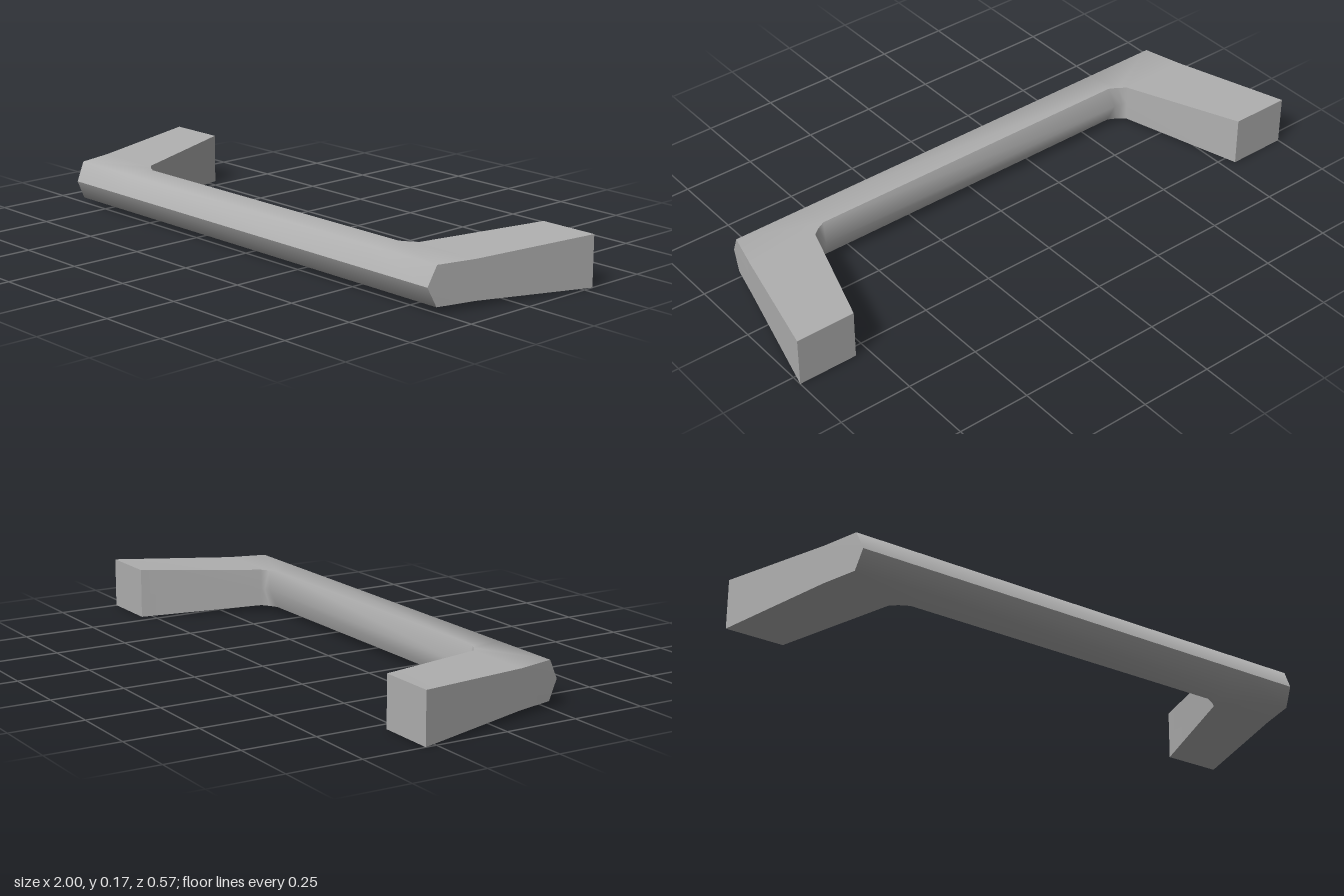
import * as THREE from 'three';

// Cross-section of six points: outer ridge, outer top, inner top, inner ridge, inner bottom, outer bottom.
// Each argument is [x, z]; lo and hi are the bottom and top heights.
const ring = (ridge, outer, inner, innerRidge, lo = 0.02, hi = 0.15) => [
  [ridge[0], 0.085, ridge[1]], [outer[0], hi, outer[1]], [inner[0], hi, inner[1]],
  [innerRidge[0], 0.085, innerRidge[1]], [inner[0], lo, inner[1]], [outer[0], lo, outer[1]],
];

// Sections from the left foot to the middle, then mirrored to the right foot
const half = [
  ring([1, -0.287], [1, -0.287], [0.795, -0.287], [0.795, -0.287], 0, 0.17), // foot
  ring([0.897, 0.125], [0.897, 0.125], [0.655, 0.12], [0.655, 0.12]),        // bend
  ring([0.857, 0.287], [0.864, 0.255], [0.63, 0.139], [0.635, 0.124]),       // corner
  ring([0.6, 0.287], [0.6, 0.255], [0.6, 0.155], [0.61, 0.13]),              // grip
];
const mirrored = half.map(r => r.map(([x, y, z]) => [-x, y, z])).reverse();
const rings = [...half, ...mirrored];
const last = rings.length - 1;

// Surface from strips [column, first ring, last ring]; normals are smooth inside one surface
function surface(strips) {
  const index = [];
  for (const [col, from, to] of strips) {
    const next = (col + 1) % 6;
    for (let r = from; r < to; r++) {
      const a = r * 6 + col, b = r * 6 + next, c = b + 6, d = a + 6;
      index.push(a, b, c, a, c, d);
    }
  }
  return finish(index);
}

function finish(index) {
  const g = new THREE.BufferGeometry();
  g.setAttribute('position', new THREE.Float32BufferAttribute(rings.flat(2), 3));
  g.setIndex(index);
  g.computeVertexNormals();
  return g;
}

// Flat end of a leg
function footCap(r, flip) {
  const index = [];
  for (let i = 1; i < 5; i++) {
    const a = r * 6, b = a + i, c = b + 1;
    index.push(...(flip ? [a, c, b] : [a, b, c]));
  }
  return finish(index);
}

export function createModel() {
  const group = new THREE.Group();
  group.name = 'pullHandle';
  const metal = new THREE.MeshStandardMaterial({ color: 0xb0b0b0 });
  metal.name = 'grey metal';
  const add = (name, geometry) => {
    const mesh = new THREE.Mesh(geometry, metal);
    mesh.name = name;
    group.add(mesh);
  };

  // Grip and leg surfaces
  add('upperSurface', surface([[1, 0, last], [0, 2, last - 2]]));
  add('lowerSurface', surface([[4, 0, last], [5, 2, last - 2]]));
  add('innerSurface', surface([[2, 0, last], [3, 0, last]]));

  // Outer faces of the legs
  add('leftLegOuterFace', surface([[0, 0, 2], [5, 0, 2]]));
  add('rightLegOuterFace', surface([[0, last - 2, last], [5, last - 2, last]]));

  // Mounting ends
  add('leftFoot', footCap(0, true));
  add('rightFoot', footCap(last, false));
  return group;
}
